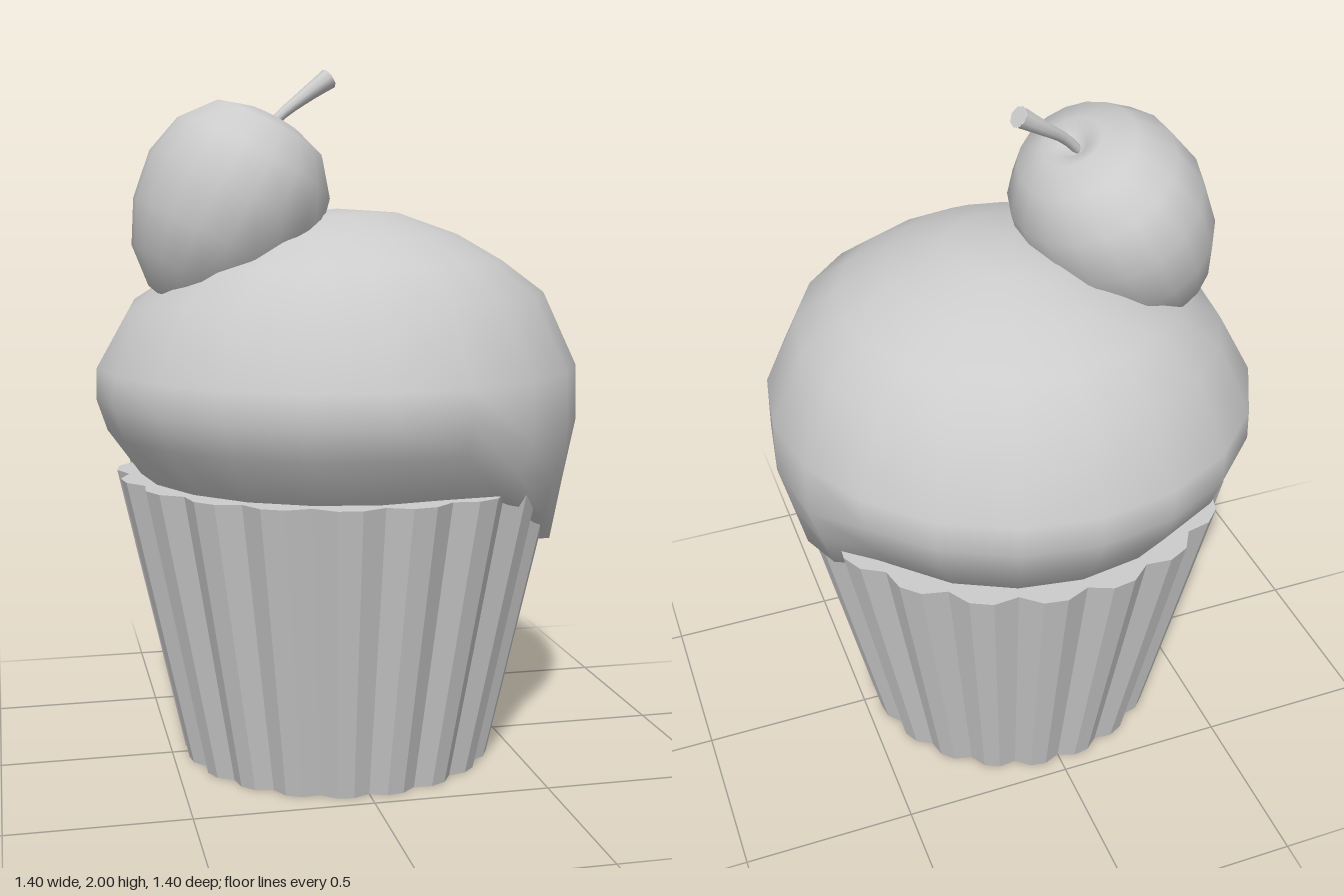
import * as THREE from 'three';
import { mergeVertices } from 'three/addons/utils/BufferGeometryUtils.js';

const grey = new THREE.MeshStandardMaterial({ color: 0xcccccc });
const faceted = new THREE.MeshStandardMaterial({ color: 0xcccccc, flatShading: true });

// Revolve a profile, move its vertices by a rule, then smooth across the seam
function revolve(profile, sides, rule) {
  let geo = new THREE.LatheGeometry(profile.map(([r, y]) => new THREE.Vector2(r, y)), sides);
  const pos = geo.attributes.position;
  const v = new THREE.Vector3();
  for (let i = 0; i < pos.count; i++) {
    v.fromBufferAttribute(pos, i);
    rule(v, i % profile.length);
    pos.setXYZ(i, v.x, v.y, v.z);
  }
  geo.deleteAttribute('uv');
  geo.deleteAttribute('normal');
  geo = mergeVertices(geo, 1e-4);
  geo.computeVertexNormals();
  return geo;
}

function addMesh(group, name, geo, mat) {
  const mesh = new THREE.Mesh(geo, mat);
  mesh.name = name;
  group.add(mesh);
  return mesh;
}

// Paper cup: 20 flutes of three faces each, with a sharp valley between them
function wrapperGeometry() {
  const geo = new THREE.CylinderGeometry(0.644, 0.457, 0.85, 60, 1);
  geo.translate(0, 0.425, 0);
  const pos = geo.attributes.position;
  for (let i = 0; i < pos.count; i++) {
    const x = pos.getX(i), z = pos.getZ(i);
    const step = Math.round(Math.atan2(z, x) / (Math.PI / 30));
    const k = step % 3 === 0 ? 0.95 : 1;
    pos.setXYZ(i, x * k, pos.getY(i), z * k);
  }
  return geo;
}

// Frosting: a 20-sided dome whose lower rings run down over the cup on one side
function frostingGeometry() {
  const profile = [
    [0.5, 0.8], [0.57, 0.84], [0.67, 0.98], [0.7, 1.07], [0.697, 1.16],
    [0.6, 1.37], [0.48, 1.46], [0.35, 1.535], [0.18, 1.595], [0, 1.61],
  ];
  // Lowest height of the drip, by 18 degree step from +x towards +z
  const dripLow = { '-1': 0.77, 0: 0.7, 1: 0.63, 2: 0.735, 3: 0.81 };
  const dripRings = [
    (low) => [0.5, low],
    (low) => [0.632, low + 0.015],
    (low) => [0.665, low + 0.55 * (0.98 - low)],
    () => [0.7, 1.0],
  ];
  return revolve(profile, 20, (v, ring) => {
    const angle = Math.atan2(v.z, v.x);
    const low = dripLow[Math.round(angle / (Math.PI / 10))];
    if (low !== undefined && ring < dripRings.length) {
      const [r, y] = dripRings[ring](low);
      v.set(r * Math.cos(angle), y, r * Math.sin(angle));
    }
    // Shallow dent under the cherry
    if (ring > 4) v.y -= 0.06 * Math.exp(-((v.x + 0.45) ** 2 + v.z ** 2) / 0.07);
  });
}

// Cherry: dimpled at the top, tapering below, wider from front to back
function cherryGeometry() {
  const profile = [
    [0, -0.32], [0.1, -0.3], [0.2, -0.22], [0.26, -0.1], [0.283, 0.04],
    [0.255, 0.16], [0.18, 0.25], [0.09, 0.28], [0.04, 0.265], [0, 0.235],
  ];
  return revolve(profile, 18, (v) => {
    v.x *= 0.95;
    v.z *= 1.2;
  });
}

// Stem: a thin curved tube that widens to a flat end
function stemGeometry() {
  const curve = new THREE.CatmullRomCurve3([
    new THREE.Vector3(-0.23, 1.8, 0.035),
    new THREE.Vector3(-0.17, 1.865, 0.02),
    new THREE.Vector3(-0.09, 1.925, -0.012),
    new THREE.Vector3(-0.015, 1.977, -0.03),
  ]);
  const rings = 8, sides = 8;
  const geo = new THREE.TubeGeometry(curve, rings, 1, sides);
  const pos = geo.attributes.position;
  const v = new THREE.Vector3();
  for (let i = 0; i < pos.count; i++) {
    const t = Math.floor(i / (sides + 1)) / rings;
    const c = curve.getPointAt(t);
    v.fromBufferAttribute(pos, i).sub(c).multiplyScalar(0.013 + 0.017 * t * t).add(c);
    pos.setXYZ(i, v.x, v.y, v.z);
  }
  return { geo, end: curve.getPointAt(1), dir: curve.getTangentAt(1) };
}

export function createModel() {
  const cupcake = new THREE.Group();
  cupcake.name = 'cupcake';

  addMesh(cupcake, 'wrapper', wrapperGeometry(), faceted);
  addMesh(cupcake, 'frosting', frostingGeometry(), grey);

  const cherry = addMesh(cupcake, 'cherry', cherryGeometry(), grey);
  cherry.position.set(-0.32, 1.61, 0.02);
  cherry.rotation.z = -0.5;

  const stem = stemGeometry();
  addMesh(cupcake, 'stem', stem.geo, grey);
  const tip = addMesh(cupcake, 'stemTip', new THREE.CircleGeometry(0.03, 8), grey);
  tip.position.copy(stem.end);
  tip.quaternion.setFromUnitVectors(new THREE.Vector3(0, 0, 1), stem.dir);

  return cupcake;
}
